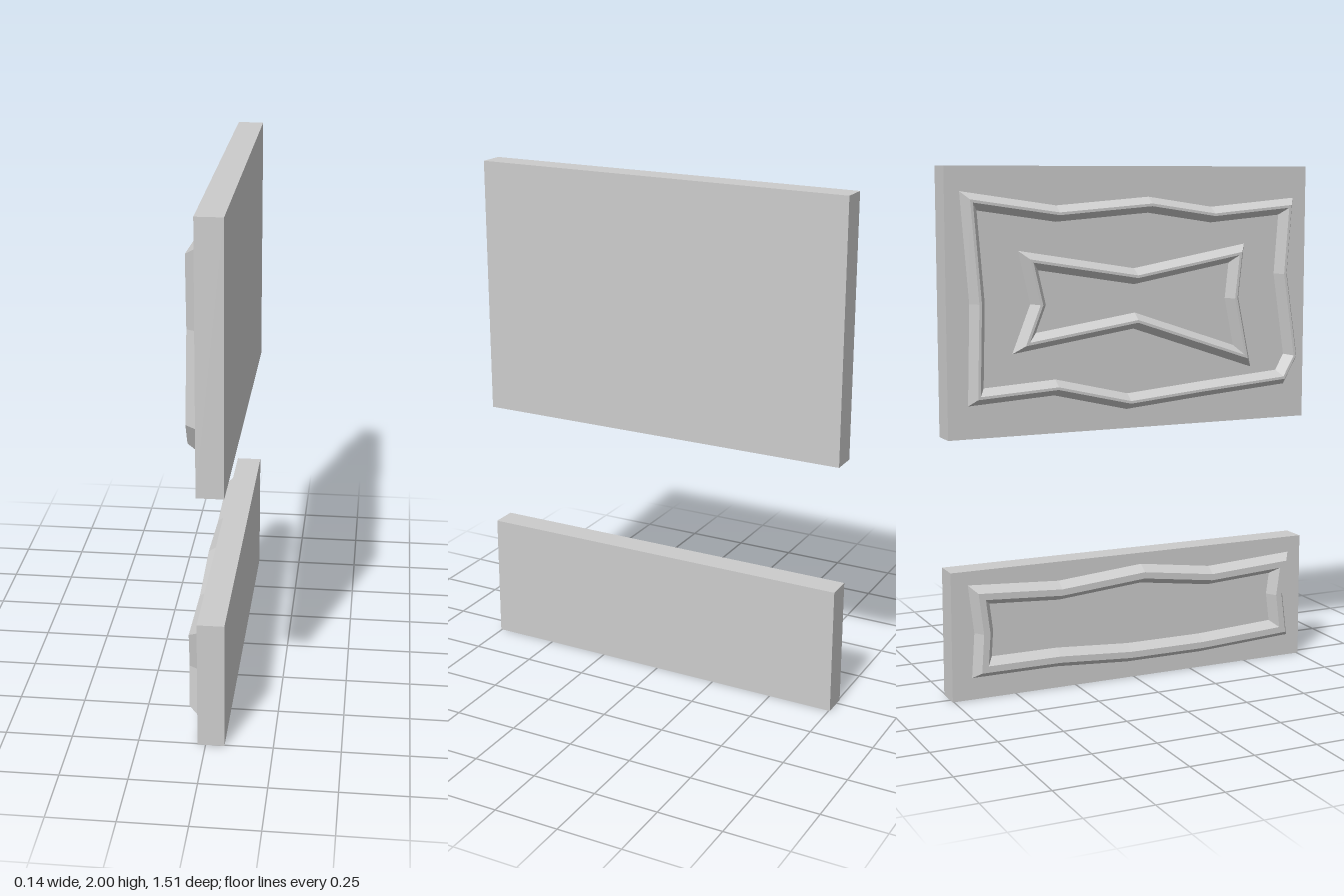
import * as THREE from 'three';

const FACE = -0.03;   // x of the slab face that carries the ridges
const RISE = 0.04;    // ridge height
const material = new THREE.MeshStandardMaterial({ color: 0xcccccc, flatShading: true });

function slab(name, y0, y1) {
  const mesh = new THREE.Mesh(new THREE.BoxGeometry(0.1, y1 - y0, 1.51), material);
  mesh.position.set(0.02, (y0 + y1) / 2, 0);
  mesh.name = name;
  return mesh;
}

// Offsets a closed clockwise [z, y] outline inward with mitred corners.
function inset(path, distance) {
  const n = path.length;
  const normal = (a, b) => new THREE.Vector2(b[1] - a[1], a[0] - b[0]).normalize();
  return path.map((p, i) => {
    const n1 = normal(path[(i + n - 1) % n], p);
    const n2 = normal(p, path[(i + 1) % n]);
    const k = distance / Math.max(0.4, 1 + n1.dot(n2));
    return [p[0] + (n1.x + n2.x) * k, p[1] + (n1.y + n2.y) * k];
  });
}

// Closed bevelled ridge swept along an outline of its outer crest.
function ridge(name, path, flat, bevel = 0.025) {
  const n = path.length;
  const section = [[-bevel, 0], [0, RISE], [flat, RISE], [flat + bevel, 0]];
  const positions = [];
  const index = [];
  section.forEach(([offset, height]) => {
    inset(path, offset).forEach(([z, y]) => positions.push(FACE - height, y, z));
  });
  for (let j = 0; j < section.length - 1; j++) {
    for (let i = 0; i < n; i++) {
      const next = (i + 1) % n;
      const a = j * n + i, b = j * n + next;
      const c = b + n, d = a + n;
      index.push(a, d, c, a, c, b);
    }
  }
  const indexed = new THREE.BufferGeometry();
  indexed.setAttribute('position', new THREE.Float32BufferAttribute(positions, 3));
  indexed.setIndex(index);
  const geometry = indexed.toNonIndexed();
  geometry.computeVertexNormals();
  const mesh = new THREE.Mesh(geometry, material);
  mesh.name = name;
  return mesh;
}

export function createModel() {
  const model = new THREE.Group();
  model.name = 'reliefPanels';

  // Upper panel with two nested zigzag ridges
  const upper = new THREE.Group();
  upper.name = 'upperPanel';
  upper.add(slab('upperSlab', 1, 2));
  upper.add(ridge('upperOuterRidge', [
    [-0.67, 1.88], [-0.32, 1.83], [0.06, 1.86], [0.33, 1.82], [0.67, 1.85],
    [0.65, 1.58], [0.70, 1.25], [0.65, 1.16],
    [0.29, 1.13], [-0.03, 1.10], [-0.33, 1.17], [-0.65, 1.15],
    [-0.64, 1.5],
  ], 0.01));
  upper.add(ridge('upperInnerRidge', [
    [-0.44, 1.66], [0.0, 1.59], [0.45, 1.67],
    [0.43, 1.49], [0.48, 1.25], [0.0, 1.41], [-0.46, 1.34], [-0.40, 1.49],
  ], 0.01));

  // Lower panel with a single zigzag ridge
  const lower = new THREE.Group();
  lower.name = 'lowerPanel';
  lower.add(slab('lowerSlab', 0, 0.5));
  lower.add(ridge('lowerRidge', [
    [-0.66, 0.42], [-0.32, 0.40], [0.03, 0.43], [0.33, 0.39], [0.67, 0.41],
    [0.65, 0.27], [0.67, 0.11],
    [0.29, 0.09], [-0.03, 0.09], [-0.33, 0.11], [-0.65, 0.11],
    [-0.64, 0.26],
  ], 0.025));

  model.add(upper, lower);
  return model;
}
